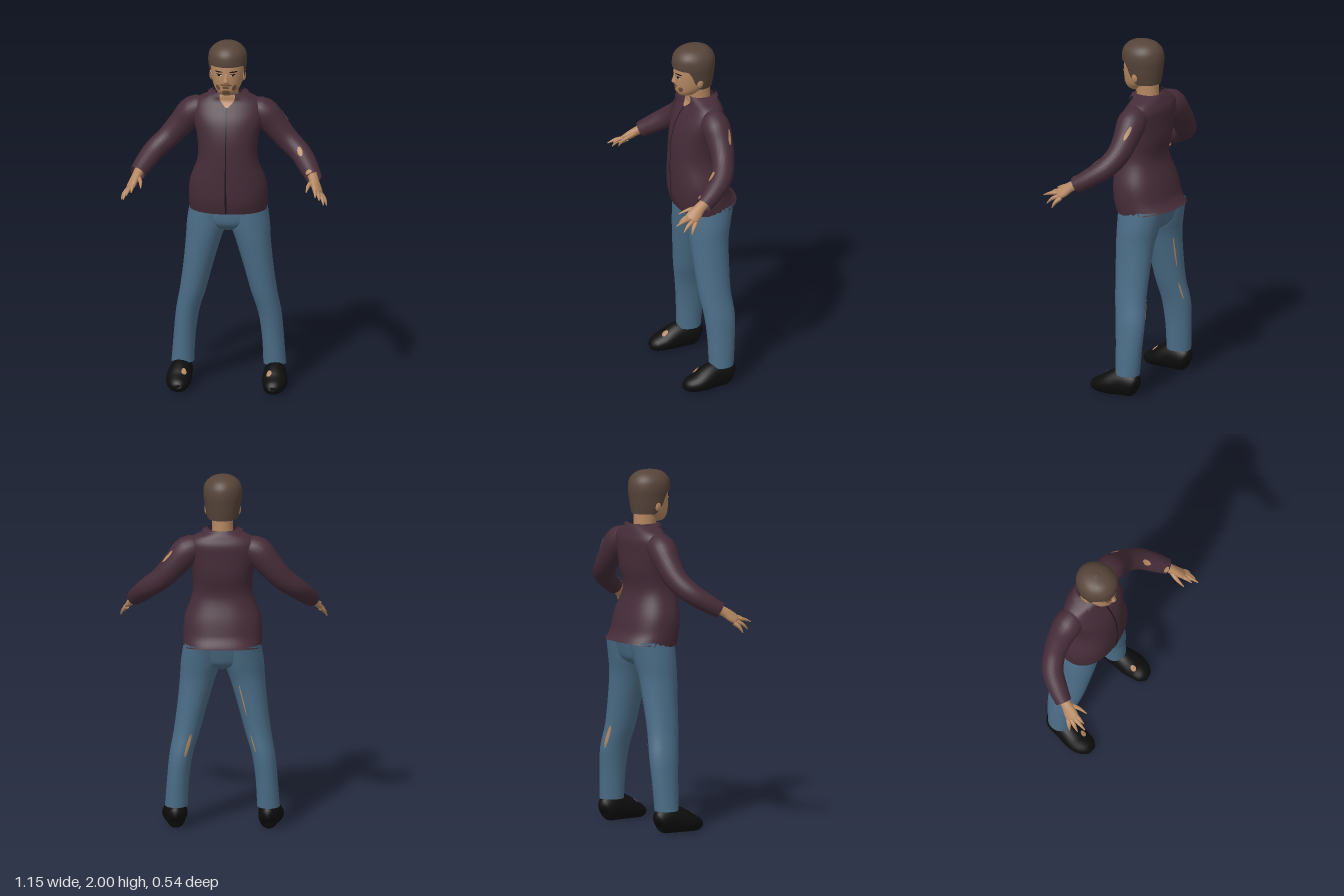
import * as THREE from 'three';

const PI = Math.PI, FRONT = PI / 2, BACK = -PI / 2;
const clamp = THREE.MathUtils.clamp, smooth = THREE.MathUtils.smoothstep;

function paint(name, color) {
  const m = new THREE.MeshStandardMaterial({ color, side: THREE.DoubleSide });
  m.name = name;
  return m;
}

// Smoothly interpolated cross-section [x, y, z, halfWidth, halfDepth] at float index s
function section(secs, s) {
  const n = secs.length, i = clamp(Math.floor(s), 0, n - 2), f = s - i;
  const at = k => secs[clamp(k, 0, n - 1)];
  return secs[0].map((_, c) => {
    const [a, b, d, e] = [at(i - 1)[c], at(i)[c], at(i + 1)[c], at(i + 2)[c]];
    return b + 0.5 * f * (d - a + f * (2 * a - 5 * b + 4 * d - e + f * (3 * (b - d) + e - a)));
  });
}

// Surface around an upright stack of sections: s runs up, t runs around, grow offsets outward
function upright(secs, power = 1) {
  const pw = v => Math.sign(v) * Math.abs(v) ** power;
  const f = (s, t, grow = 0) => {
    const [x, y, z, a, b] = section(secs, s);
    return new THREE.Vector3(x + pw(Math.cos(t)) * (Math.max(a, 0.001) + grow), y,
      z + pw(Math.sin(t)) * (Math.max(b, 0.001) + grow));
  };
  f.last = secs.length - 1;
  return f;
}

// Surface around a path in any direction, its rings square to the path
function limb(secs, roll = 0, floor = -1) {
  const f = (s, t, grow = 0) => {
    const [x, y, z, a, b] = section(secs, s);
    const p = section(secs, Math.max(s - 0.1, 0)), q = section(secs, Math.min(s + 0.1, f.last));
    const dir = new THREE.Vector3(q[0] - p[0], q[1] - p[1], q[2] - p[2]).normalize();
    const w = new THREE.Vector3(-dir.z, 0, dir.x).normalize(), v = w.clone().cross(dir);
    const c = Math.cos(t) * (Math.max(a, 0.001) + grow), d = Math.sin(t) * (Math.max(b, 0.001) + grow);
    const out = new THREE.Vector3(x, y, z)
      .addScaledVector(w, c * Math.cos(roll) - d * Math.sin(roll))
      .addScaledVector(v, c * Math.sin(roll) + d * Math.cos(roll));
    out.y = Math.max(out.y, floor);
    return out;
  };
  f.last = secs.length - 1;
  return f;
}

// Mesh from a point rule on a grid; side -1 mirrors it across x
function grid(name, mat, point, ni, nj, wrap, side = 1) {
  const pos = [], idx = [], cols = wrap ? nj : nj + 1;
  for (let i = 0; i <= ni; i++) for (let j = 0; j < cols; j++) {
    const p = point(i / ni, j / nj);
    pos.push(p.x * side, p.y, p.z);
  }
  for (let i = 0; i < ni; i++) for (let j = 0; j < nj; j++) {
    const k = (j + 1) % cols, a = i * cols + j, b = i * cols + k, c = a + cols, d = b + cols;
    if (side > 0) idx.push(a, c, b, b, c, d);
    else idx.push(a, b, c, b, d, c);
  }
  const g = new THREE.BufferGeometry();
  g.setAttribute('position', new THREE.Float32BufferAttribute(pos, 3));
  g.setIndex(idx);
  g.computeVertexNormals();
  const mesh = new THREE.Mesh(g, mat);
  mesh.name = name;
  return mesh;
}

const tube = (name, mat, f, side = 1, n = 24) =>
  grid(name, mat, (i, j) => f(i * f.last, j * 2 * PI), f.last * 4, n, true, side);
// Oval patch lying on a surface
const spot = (name, mat, f, s, t, ds, dt, side = 1, grow = 0.003) =>
  grid(name, mat, (r, a) => f(s + ds * r * Math.cos(a * 2 * PI), t + dt * r * Math.sin(a * 2 * PI), grow),
    3, 14, true, side);
// Strip lying on a surface, half width w(i) around angle t
const strip = (name, mat, f, s0, s1, t, w, grow) =>
  grid(name, mat, (i, j) => f(s0 + (s1 - s0) * i, t + w(i) * (2 * j - 1), grow), 24, 6, false);

export function createModel() {
  const model = new THREE.Group();
  model.name = 'standingMan';
  const skin = paint('skin', 0xb58862), shirt = paint('shirt', 0x452c38), jeans = paint('denim', 0x4b6d87),
    black = paint('shoeBlack', 0x0d0d0d), hair = paint('hair', 0x564439), dark = paint('darkLine', 0x1e1418),
    stubble = paint('stubble', 0x6f5039), white = paint('eyeWhite', 0xc9c0b8);
  const add = (...m) => model.add(...m);

  // Shirt body
  const body = upright([
    [0, 1.03, -0.09, 0.215, 0.163], [0, 1.10, -0.07, 0.218, 0.16], [0, 1.20, -0.055, 0.21, 0.15],
    [0, 1.33, -0.035, 0.166, 0.13], [0, 1.45, -0.05, 0.17, 0.137], [0, 1.55, -0.065, 0.192, 0.125],
    [0, 1.62, -0.085, 0.195, 0.105], [0, 1.66, -0.09, 0.165, 0.085], [0, 1.685, -0.085, 0.11, 0.078],
    [0, 1.70, -0.08, 0.072, 0.072]], 0.88);
  // The hem dips at the front and lifts at the back
  const hemmed = (s, t, g) => {
    const p = body(s, t, g), k = Math.max(0, 1 - s), back = Math.max(0, -Math.sin(t));
    p.y += 0.025 * k * back;
    p.z -= 0.02 * k * back;
    return p;
  };
  hemmed.last = body.last;
  add(tube('shirtBody', shirt, hemmed, 1, 40));
  add(strip('shirtFrontSeam', dark, body, 0.02, 6.4, FRONT, () => 0.012, 0.003));
  add(strip('openNeck', skin, body, 6.2, 9, FRONT, i => 0.02 + 0.5 * i, 0.004));
  add(grid('collar', shirt, (i, j) => {
    const t = FRONT + 0.42 + j * (2 * PI - 0.84);
    const s0 = 8.2 - 1.4 * smooth(Math.sin(t), 0.5, 0.9);
    const p = body(s0 + (9 - s0) * i, t, 0.012);
    p.y += 0.008;
    return p;
  }, 6, 36, false));

  // Seat of the jeans
  add(tube('jeansSeat', jeans, upright([[0, 0.915, -0.08, 0.06, 0.07], [0, 0.95, -0.085, 0.17, 0.11],
    [0, 1.0, -0.09, 0.208, 0.125], [0, 1.07, -0.1, 0.208, 0.135]]), 1, 32));

  // Neck and head
  add(tube('neck', skin, upright([[0, 1.62, -0.08, 0.06, 0.06], [0, 1.70, -0.07, 0.058, 0.065],
    [0, 1.79, -0.065, 0.06, 0.07]])));
  const head = upright([
    [0, 1.704, 0.005, 0.005, 0.005], [0, 1.712, 0, 0.038, 0.045], [0, 1.735, -0.005, 0.062, 0.068],
    [0, 1.77, -0.025, 0.08, 0.095], [0, 1.82, -0.035, 0.09, 0.108], [0, 1.87, -0.04, 0.094, 0.111],
    [0, 1.93, -0.04, 0.088, 0.103], [0, 1.97, -0.04, 0.055, 0.07], [0, 1.98, -0.04, 0.001, 0.001]]);
  add(tube('head', skin, head, 1, 32));
  const hairShape = upright([
    [0, 1.75, -0.062, 0.08, 0.08], [0, 1.80, -0.045, 0.095, 0.106], [0, 1.85, -0.042, 0.102, 0.116],
    [0, 1.90, -0.04, 0.108, 0.122], [0, 1.95, -0.04, 0.099, 0.112], [0, 1.987, -0.042, 0.06, 0.072],
    [0, 2.0, -0.045, 0.001, 0.001]]);
  add(grid('hair', hair, (i, j) => {
    const t = j * 2 * PI, s0 = 0.25 + 2.4 * smooth(Math.sin(t), 0.05, 0.55);
    return hairShape(s0 + (6 - s0) * i, t);
  }, 20, 48, true));
  // Face
  add(tube('nose', skin, upright([[0, 1.785, 0.06, 0.01, 0.008], [0, 1.795, 0.066, 0.019, 0.022],
    [0, 1.815, 0.066, 0.013, 0.018], [0, 1.85, 0.062, 0.009, 0.009]]), 1, 12));
  add(spot('goatee', stubble, head, 1.95, FRONT, 0.5, 0.36));
  add(spot('moustache', stubble, head, 3.2, FRONT, 0.14, 0.4));
  add(spot('mouth', dark, head, 2.85, FRONT, 0.08, 0.24, 1, 0.004));
  for (const side of [1, -1]) {
    add(spot('cheekStubble', stubble, head, 2.75, FRONT - 0.62, 0.4, 0.18, side, 0.002));
    add(spot('eye', white, head, 4.32, FRONT - 0.42, 0.12, 0.17, side, 0.003));
    add(spot('pupil', dark, head, 4.33, FRONT - 0.42, 0.11, 0.08, side, 0.005));
    add(spot('eyelid', dark, head, 4.44, FRONT - 0.42, 0.05, 0.2, side, 0.005));
    add(spot('eyebrow', dark, head, 4.72, FRONT - 0.44, 0.08, 0.25, side, 0.004));
    const ear = new THREE.Mesh(new THREE.SphereGeometry(1, 12, 8), skin);
    ear.name = 'ear';
    ear.scale.set(0.012, 0.03, 0.02);
    ear.position.set(side * 0.09, 1.805, -0.045);
    add(ear);
  }

  for (const side of [1, -1]) {
    // Sleeve
    const arm = limb([
      [0.11, 1.60, -0.09, 0.055, 0.055], [0.19, 1.583, -0.095, 0.08, 0.08], [0.26, 1.505, -0.1, 0.072, 0.072],
      [0.33, 1.425, -0.09, 0.063, 0.064], [0.405, 1.36, -0.05, 0.06, 0.058], [0.455, 1.305, 0.02, 0.055, 0.052],
      [0.49, 1.262, 0.085, 0.045, 0.045]]);
    add(tube('sleeve', shirt, arm, side));
    // Hand
    add(tube('palm', skin, limb([
      [0.475, 1.28, 0.06, 0.03, 0.028], [0.494, 1.252, 0.11, 0.031, 0.024], [0.512, 1.222, 0.15, 0.039, 0.02],
      [0.522, 1.205, 0.175, 0.034, 0.015], [0.526, 1.2, 0.182, 0.005, 0.004]], 0.65), side, 16));
    const fingers = {
      thumb: [[0.482, 1.248, 0.12], [0.466, 1.238, 0.17], [0.46, 1.218, 0.222]],
      indexFinger: [[0.500, 1.222, 0.16], [0.508, 1.214, 0.205], [0.511, 1.195, 0.238]],
      middleFinger: [[0.514, 1.211, 0.165], [0.528, 1.203, 0.22], [0.535, 1.186, 0.264]],
      ringFinger: [[0.526, 1.199, 0.16], [0.546, 1.18, 0.2], [0.556, 1.15, 0.228]],
      littleFinger: [[0.535, 1.19, 0.15], [0.558, 1.166, 0.172], [0.57, 1.136, 0.185]]
    };
    for (const [name, [a, b, c]] of Object.entries(fingers))
      add(tube(name, skin, limb([[...a, 0.014, 0.013], [...b, 0.011, 0.01], [...c, 0.003, 0.003]]), side, 10));

    // Trouser leg
    const leg = upright([
      [0.255, 0.125, -0.107, 0.063, 0.07], [0.245, 0.28, -0.11, 0.061, 0.078], [0.228, 0.42, -0.107, 0.065, 0.088],
      [0.197, 0.55, -0.09, 0.073, 0.092], [0.167, 0.70, -0.083, 0.083, 0.1], [0.138, 0.85, -0.08, 0.098, 0.11],
      [0.118, 0.95, -0.088, 0.112, 0.122], [0.108, 1.06, -0.1, 0.105, 0.135]]);
    add(tube('trouserLeg', jeans, leg, side));

    // Shoe with a flat sole
    const shoe = limb([
      [0.255, 0.055, -0.172, 0.001, 0.001], [0.255, 0.06, -0.165, 0.04, 0.055], [0.256, 0.07, -0.13, 0.055, 0.074],
      [0.26, 0.075, -0.07, 0.062, 0.077], [0.265, 0.06, -0.01, 0.07, 0.068], [0.267, 0.045, 0.04, 0.068, 0.052],
      [0.26, 0.034, 0.09, 0.052, 0.038], [0.256, 0.03, 0.115, 0.026, 0.02], [0.256, 0.03, 0.12, 0.001, 0.001]], 0, 0);
    add(tube('shoe', black, shoe, side));
    add(spot('shoeTear', skin, shoe, 4.65, 1.12, 0.45, 0.22, side));

    // Worn tears
    if (side > 0) {
      add(spot('forearmTear', skin, arm, 4.2, 0.9, 0.35, 0.25));
      add(spot('cuffTear', skin, arm, 5.75, 0.8, 0.18, 0.4));
      add(spot('upperArmTear', skin, arm, 1.9, 2.1, 0.4, 0.14));
      add(spot('kneeTear', skin, leg, 2.5, BACK - 0.35, 0.5, 0.14));
    } else {
      add(spot('thighTear', skin, leg, 4.3, BACK - 0.5, 0.6, 0.05, side));
      add(spot('calfTear', skin, leg, 2.6, BACK - 0.55, 0.4, 0.06, side));
    }
  }
  return model;
}
